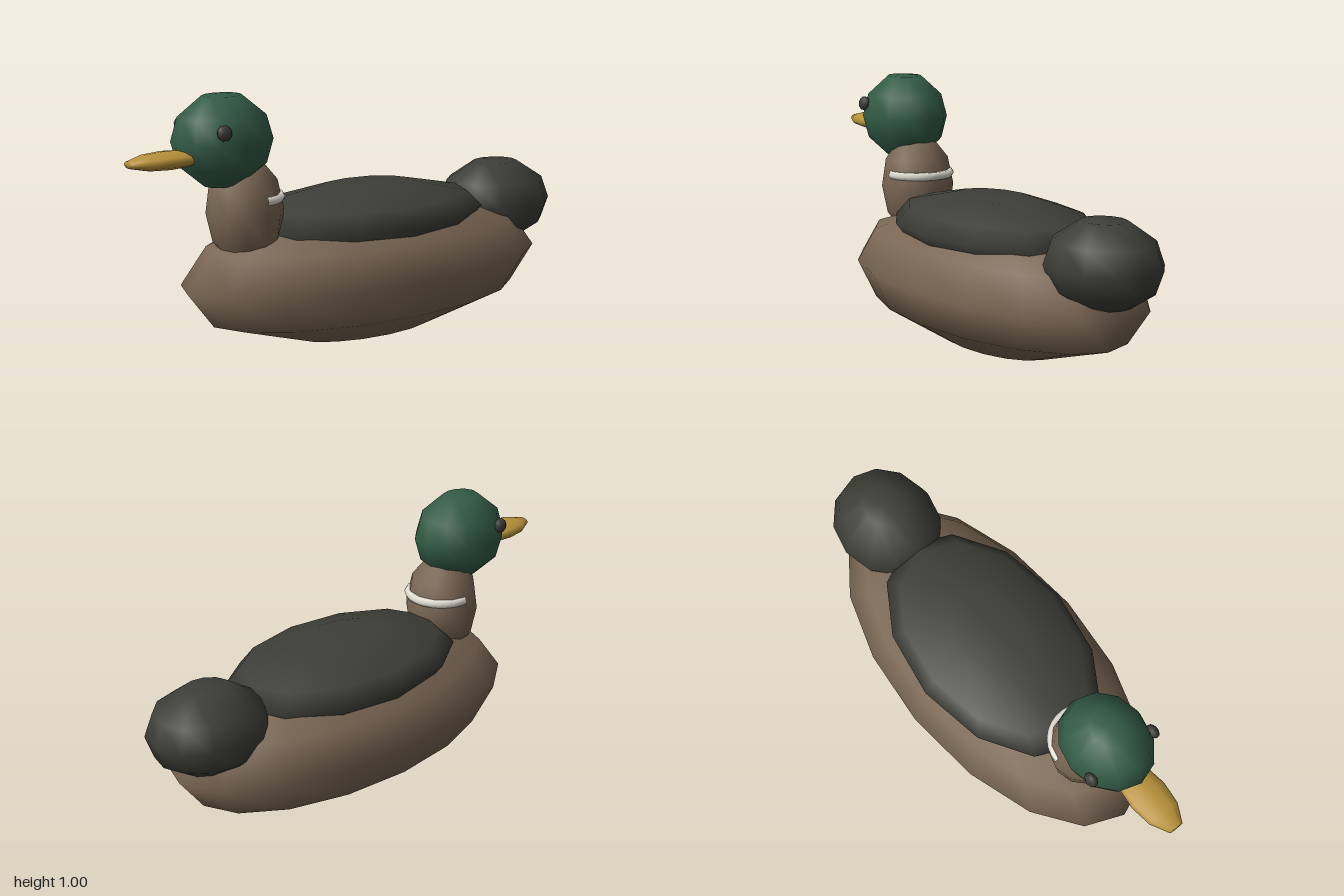
import * as THREE from 'three';

const flat = (name, color) => {
  const m = new THREE.MeshStandardMaterial({ color });
  m.name = name;
  return m;
};

// Low-poly unit ball with flattened poles and smooth normals, scaled to an ellipsoid
function ellipsoid(rx, ry, rz, sides, poleAlongZ = false) {
  const profile = [[0, -0.925], [0.39, -0.92], [0.866, -0.5], [1, 0], [0.866, 0.5], [0.39, 0.92], [0, 0.925]]
    .map(([r, y]) => new THREE.Vector2(r, y));
  const g = new THREE.LatheGeometry(profile, sides);
  const p = g.attributes.position, v = new THREE.Vector3();
  for (let i = 0; i < p.count; i++) {
    v.fromBufferAttribute(p, i).normalize();
    g.attributes.normal.setXYZ(i, v.x, v.y, v.z);
  }
  if (poleAlongZ) g.rotateX(Math.PI / 2);
  return g.scale(rx, ry, rz);
}

export function createModel() {
  const brown = flat('brown', 0x7a6754);
  const charcoal = flat('charcoal', 0x3d3e37);
  const green = flat('green', 0x335c46);
  const gold = flat('gold', 0xb8923a);
  const white = flat('white', 0xe2dfd4);
  const eyeDark = flat('eyeDark', 0x3c3b38);

  const model = new THREE.Group();
  model.name = 'duck';
  const add = (name, geometry, material, x, y, z) => {
    const mesh = new THREE.Mesh(geometry, material);
    mesh.name = name;
    mesh.position.set(x, y, z);
    model.add(mesh);
    return mesh;
  };

  // Body, folded wings and tail
  add('body', ellipsoid(0.4, 0.281, 0.83, 16), brown, 0, 0.26, -0.07);
  add('wings', ellipsoid(0.335, 0.13, 0.54, 12), charcoal, 0, 0.465, -0.07);
  add('tail', ellipsoid(0.21, 0.176, 0.245, 12), charcoal, 0, 0.438, -0.755);

  // Neck with a pale half collar at the back
  add('neck', ellipsoid(0.148, 0.225, 0.148, 12), brown, 0, 0.55, 0.503).rotation.x = 0.05;
  const collar = new THREE.TorusGeometry(0.128, 0.018, 6, 14, Math.PI).rotateX(-Math.PI / 2);
  add('collar', collar, white, 0, 0.603, 0.495);

  // Head, bill and eyes
  add('head', ellipsoid(0.166, 0.182, 0.2, 12), green, 0, 0.828, 0.6);
  add('bill', ellipsoid(0.077, 0.034, 0.17, 12, true), gold, 0, 0.778, 0.843);
  for (const s of [1, -1]) {
    const eye = add(s > 0 ? 'leftEye' : 'rightEye', ellipsoid(0.02, 0.03, 0.03, 12), eyeDark, s * 0.146, 0.88, 0.685);
    eye.rotation.z = s * 0.2;
  }
  return model;
}
